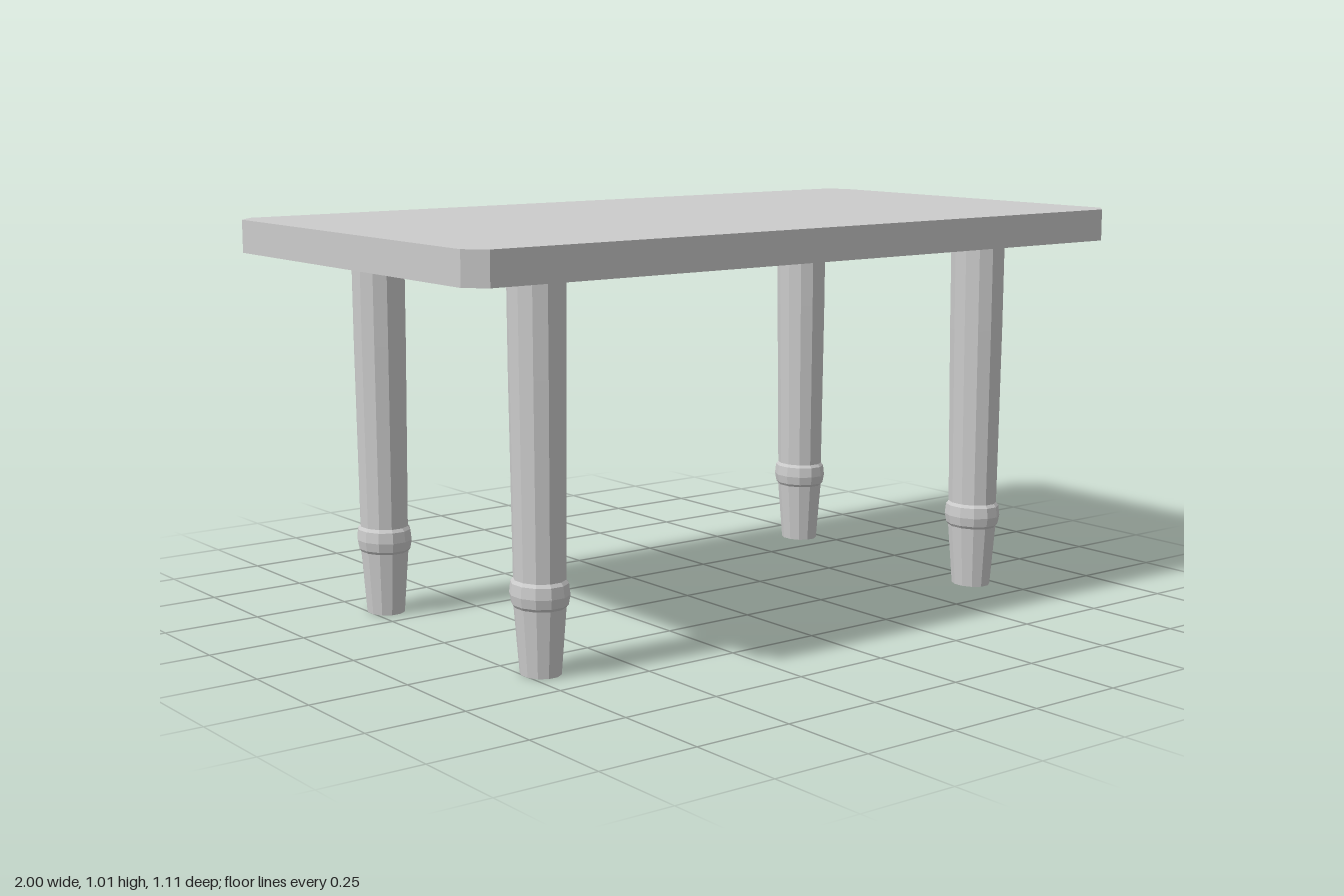
import * as THREE from 'three';

const material = new THREE.MeshStandardMaterial({ color: 0xcccccc, flatShading: true });

// Slab with clipped corners
function createTop() {
  const w = 1.0, d = 0.555, c = 0.045;
  const outline = new THREE.Shape([
    [w - c, -d], [w, -d + c], [w, d - c], [w - c, d],
    [-w + c, d], [-w, d - c], [-w, -d + c], [-w + c, -d],
  ].map(([x, y]) => new THREE.Vector2(x, y)));
  const geometry = new THREE.ExtrudeGeometry(outline, { depth: 0.082, bevelEnabled: false });
  geometry.rotateX(-Math.PI / 2);
  const top = new THREE.Mesh(geometry, material);
  top.name = 'tableTop';
  top.position.y = 0.933;
  return top;
}

// Turned leg: tapered foot, ankle ring, slightly widening shaft
function createLegGeometry() {
  const profile = [
    [0, 0.004], [0.047, 0.004], [0.059, 0.165], [0.064, 0.172], [0.068, 0.195],
    [0.065, 0.222], [0.059, 0.23], [0.064, 0.7], [0.065, 0.935], [0, 0.935],
  ].map(([r, y]) => new THREE.Vector2(r, y));
  const geometry = new THREE.LatheGeometry(profile, 12, Math.PI / 12);
  geometry.scale(1, 1, 1.15);
  return geometry;
}

export function createModel() {
  const table = new THREE.Group();
  table.name = 'table';
  table.add(createTop());

  const legGeometry = createLegGeometry();
  for (const [side, x] of [['Left', 0.695], ['Right', -0.708]]) {
    for (const [end, z] of [['front', 0.358], ['back', -0.355]]) {
      const leg = new THREE.Mesh(legGeometry, material);
      leg.name = `${end}${side}Leg`;
      leg.position.set(x, 0, z);
      table.add(leg);
    }
  }
  return table;
}
